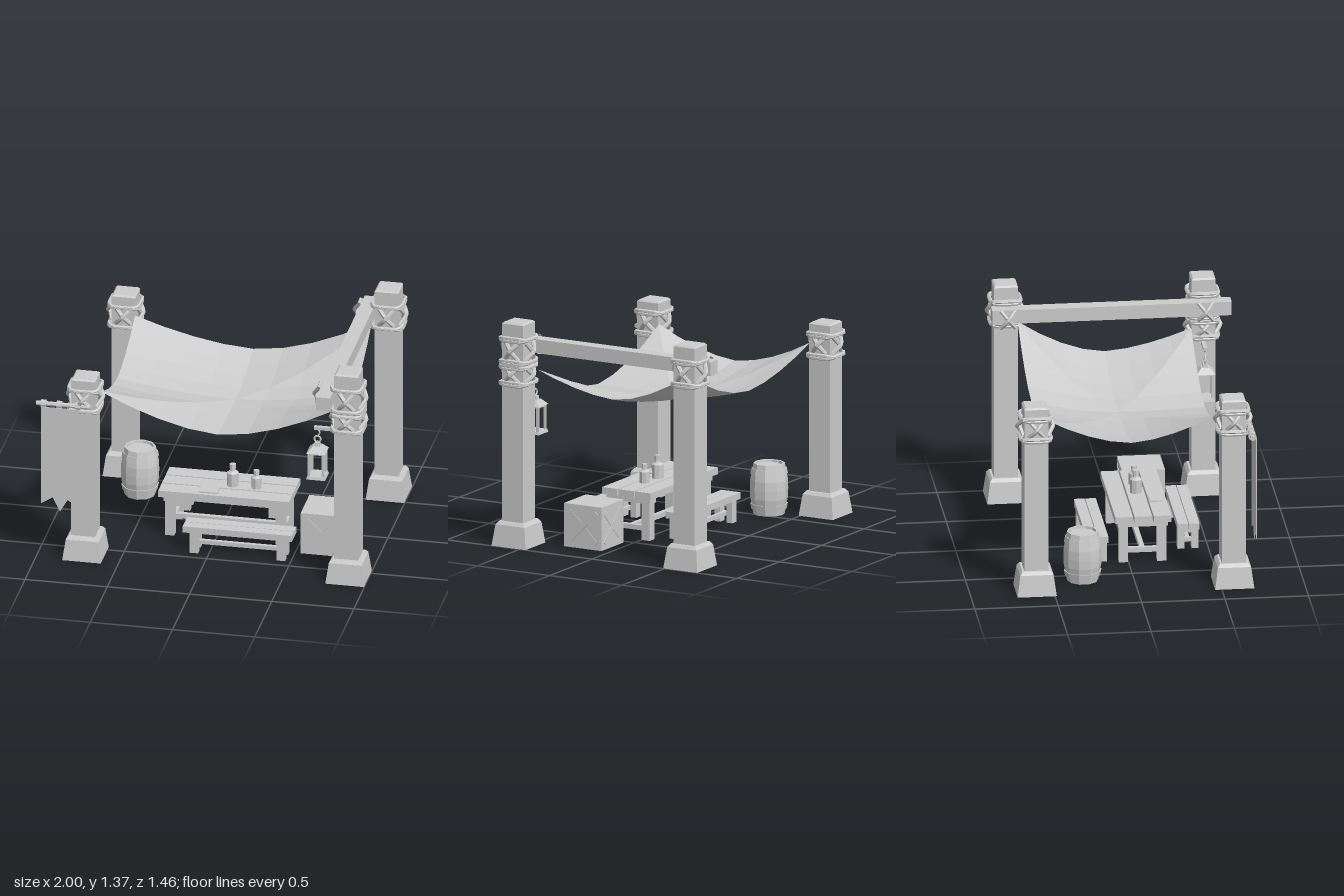
import * as THREE from 'three';

export function createModel() {
  const root = new THREE.Group();
  const stone = new THREE.MeshStandardMaterial({ color: 0xcccccc, flatShading: true, side: THREE.DoubleSide });
  stone.name = 'plain grey';

  const group = (name, parent = root, x = 0, y = 0, z = 0) => {
    const g = new THREE.Group();
    g.name = name;
    g.position.set(x, y, z);
    parent.add(g);
    return g;
  };
  const add = (parent, name, geo, x = 0, y = 0, z = 0) => {
    const m = new THREE.Mesh(geo, stone);
    m.name = name;
    m.position.set(x, y, z);
    parent.add(m);
    return m;
  };
  // box given by its min and max along each axis
  const span = (parent, name, x0, x1, y0, y1, z0, z1) =>
    add(parent, name, new THREE.BoxGeometry(x1 - x0, y1 - y0, z1 - z0), (x0 + x1) / 2, (y0 + y1) / 2, (z0 + z1) / 2);
  // square prism from y0 to y1, width w0 at the bottom and w1 at the top
  const taper = (parent, name, w0, w1, y0, y1, x = 0, z = 0) => {
    const g = new THREE.CylinderGeometry(w1 * Math.SQRT1_2, w0 * Math.SQRT1_2, y1 - y0, 4);
    g.rotateY(Math.PI / 4);
    return add(parent, name, g, x, (y0 + y1) / 2, z);
  };
  const tube = (parent, name, pts, r, closed = false, seg = 8) =>
    add(parent, name, new THREE.TubeGeometry(
      new THREE.CatmullRomCurve3(pts.map(p => new THREE.Vector3(...p)), closed, 'catmullrom', 0.3), seg, r, 6, closed));

  // two rope turns around a post, slightly tilted against each other
  const ropeRing = (parent, y) => {
    for (const s of [1, -1]) {
      const a = 0.089, b = 0.06, t = 0.008 * s;
      tube(parent, 'ropeRing', [[a, y + t, -b], [a, y + t, b], [b, y, a], [-b, y, a],
        [-a, y - t, b], [-a, y - t, -b], [-b, y, -a], [b, y, -a]], 0.012, true, 24);
    }
  };
  // crossed ropes on the four sides of a post
  const ropeCross = (parent, y, h, innerOffset = 0.075) => {
    for (let i = 0; i < 4; i++) {
      const side = group('ropeCross', parent, 0, y, 0);
      side.rotation.y = i * Math.PI / 2;
      const d = i === 3 ? innerOffset : 0.075;
      for (const s of [1, -1]) {
        tube(side, 'crossedRope', [[-0.045, -h * s, d], [0, 0, d + (s > 0 ? 0.033 : 0.018)], [0.045, h * s, d]], 0.013);
      }
    }
  };

  // posts with footings and lashings
  for (const x of [-0.72, 0.88]) for (const z of [0.577, -0.607]) {
    const right = x > 0, top = right ? 1.365 : 1.18;
    const post = group('post', root, x, 0, z);
    taper(post, 'footing', 0.235, 0.2, 0, 0.13);
    taper(post, 'footingBevel', 0.2, 0.17, 0.13, 0.15);
    taper(post, 'shaft', 0.145, 0.145, 0.14, top - 0.01);
    taper(post, 'cap', 0.145, 0.125, top - 0.01, top);
    if (right) {
      ropeRing(post, 1.265);
      ropeRing(post, 1.125);
      ropeCross(post, 1.193, 0.055, 0.175);
      if (z > 0) {
        ropeRing(post, 1.095);
        ropeRing(post, 0.995);
        ropeCross(post, 1.05, 0.045);
      }
    } else {
      ropeRing(post, 1.11);
      ropeRing(post, 0.98);
      ropeCross(post, 1.05, 0.05);
    }
  }
  span(root, 'crossBeam', 0.715, 0.8, 1.16, 1.245, -0.7, 0.735);

  // sagging awning, ridged along its diagonals
  const n = 8, pos = [], idx = [];
  for (let j = 0; j <= n; j++) for (let i = 0; i <= n; i++) {
    const u = i / n * 2 - 1, v = j / n * 2 - 1;
    const au = Math.abs(u), av = Math.abs(v), m = Math.min(au, av);
    const edgeU = u > 0 ? 0.12 : 0.07, edgeV = v > 0 ? 0.01 : 0.09;
    const corner = u > 0 ? (v > 0 ? 0.115 : 0.12) : (v > 0 ? 0.15 : 0.08);
    pos.push(0.07 + 0.72 * u, 0.815 + edgeU * au ** 1.8 + edgeV * av ** 1.8 + corner * m ** 1.6, -0.02 + 0.52 * v);
  }
  for (let j = 0; j < n; j++) for (let i = 0; i < n; i++) {
    const a = j * (n + 1) + i, b = a + 1, c = a + n + 1, d = c + 1;
    if ((i < n / 2) === (j < n / 2)) idx.push(a, c, d, a, d, b);
    else idx.push(a, c, b, b, c, d);
  }
  const cloth = new THREE.BufferGeometry();
  cloth.setAttribute('position', new THREE.Float32BufferAttribute(pos, 3));
  cloth.setIndex(idx);
  cloth.computeVertexNormals();
  add(root, 'awning', cloth);

  // banner on a pole
  const banner = group('banner');
  const rod = (name, r, x0, x1) => {
    const g = new THREE.CylinderGeometry(r, r, x1 - x0, 8);
    g.rotateZ(Math.PI / 2);
    add(banner, name, g, (x0 + x1) / 2, 1.012, 0.668);
  };
  rod('pole', 0.015, -1, -0.67);
  for (const x of [-0.955, -0.86, -0.745]) rod('poleCollar', 0.025, x - 0.015, x + 0.015);
  const flag = new THREE.Shape([[-0.965, 1], [-0.965, 0.365], [-0.895, 0.41], [-0.85, 0.32],
    [-0.805, 0.4], [-0.735, 0.36], [-0.735, 1]].map(p => new THREE.Vector2(...p)));
  add(banner, 'bannerCloth', new THREE.ExtrudeGeometry(flag, { depth: 0.006, bevelEnabled: false }), 0, 0, 0.69);

  // hanging lantern
  const lantern = group('lantern', root, 0.69, 0, 0.572);
  span(lantern, 'bracket', -0.02, 0.13, 0.955, 0.975, -0.012, 0.012);
  tube(lantern, 'hook', [[0, 0.96, 0], [0.014, 0.935, 0], [0, 0.91, 0]], 0.005);
  add(lantern, 'ring', new THREE.TorusGeometry(0.02, 0.006, 6, 10), 0, 0.892, 0);
  taper(lantern, 'lanternCap', 0.035, 0.03, 0.85, 0.872);
  taper(lantern, 'lanternRoof', 0.115, 0.05, 0.815, 0.85);
  taper(lantern, 'lanternRim', 0.1, 0.1, 0.805, 0.815);
  taper(lantern, 'lanternFloor', 0.115, 0.105, 0.645, 0.663);
  for (const x of [-0.043, 0.043]) for (const z of [-0.043, 0.043]) {
    taper(lantern, 'lanternBar', 0.014, 0.014, 0.66, 0.81, x, z);
  }

  // barrel with hoops
  const barrel = group('barrel', root, -0.57, 0, -0.305);
  const lathe = (parent, name, pts, seg, x = 0, y = 0, z = 0) =>
    add(parent, name, new THREE.LatheGeometry(pts.map(p => new THREE.Vector2(...p)), seg), x, y, z);
  lathe(barrel, 'staves', [[0, 0], [0.094, 0], [0.113, 0.1], [0.115, 0.155], [0.113, 0.21],
    [0.094, 0.31], [0.082, 0.31], [0.08, 0.295], [0, 0.295]], 10);
  lathe(barrel, 'lowerHoop', [[0.101, 0.03], [0.106, 0.03], [0.113, 0.065], [0.107, 0.065]], 10);
  lathe(barrel, 'upperHoop', [[0.107, 0.245], [0.113, 0.245], [0.106, 0.28], [0.101, 0.28]], 10);

  // table
  const table = group('table');
  for (const z of [0.2, 0.085, -0.03]) span(table, 'tablePlank', -0.345, 0.45, 0.258, 0.3, z - 0.053, z + 0.053);
  for (const x of [-0.28, 0.39]) {
    for (const z of [0.2, -0.03]) {
      span(table, 'tableLeg', x - 0.028, x + 0.028, 0, 0.26, z - 0.028, z + 0.028);
    }
    span(table, 'tableRail', x - 0.035, x + 0.035, 0.225, 0.258, -0.065, 0.235);
    span(table, 'tableTie', x - 0.015, x + 0.015, 0.055, 0.085, -0.03, 0.2);
  }
  span(table, 'tableStretcher', -0.28, 0.39, 0.055, 0.085, 0.07, 0.1);

  // benches on both sides of the table
  for (const [x, z] of [[0.175, 0.378], [0.01, -0.188]]) {
    const bench = group('bench', root, x, 0, z);
    for (const s of [-1, 1]) {
      span(bench, 'benchPlank', -0.332, 0.332, 0.132, 0.172, s * 0.034 - 0.032, s * 0.034 + 0.032);
      const lx = s * 0.265;
      for (const lz of [-0.042, 0.042]) {
        span(bench, 'benchLeg', lx - 0.026, lx + 0.026, 0, 0.132, lz - 0.02, lz + 0.02);
      }
      span(bench, 'benchRail', lx - 0.022, lx + 0.022, 0.1, 0.132, -0.05, 0.05);
      span(bench, 'benchTie', lx - 0.012, lx + 0.012, 0.04, 0.065, -0.045, 0.045);
    }
    span(bench, 'benchStretcher', -0.265, 0.265, 0.04, 0.065, -0.012, 0.012);
  }

  // bottles and book on the table
  for (const [x, z, k, h] of [[0.075, 0.087, 1, 0.14], [0.22, 0.092, 0.88, 0.115]]) {
    lathe(root, 'bottle', [[0, 0], [0.035 * k, 0], [0.037 * k, h * 0.6], [0.018 * k, h * 0.7],
      [0.016 * k, h * 0.8], [0.02 * k, h * 0.8], [0.02 * k, h], [0, h]], 8, x, 0.3, z);
  }
  span(root, 'book', -0.105, 0.01, 0.3, 0.308, 0.15, 0.23);

  // crate with crossed battens
  const crate = group('crate', root, 0.663, 0.1325, 0.185);
  add(crate, 'crateBody', new THREE.BoxGeometry(0.258, 0.265, 0.258));
  for (let i = 0; i < 4; i++) {
    const side = group('crateSide', crate);
    side.rotation.y = i * Math.PI / 2;
    for (const s of [1, -1]) {
      add(side, 'batten', new THREE.BoxGeometry(0.27, 0.026, 0.008), 0, 0, 0.129 + s * 0.001).rotation.z = s * Math.PI / 4;
    }
  }
  return root;
}
